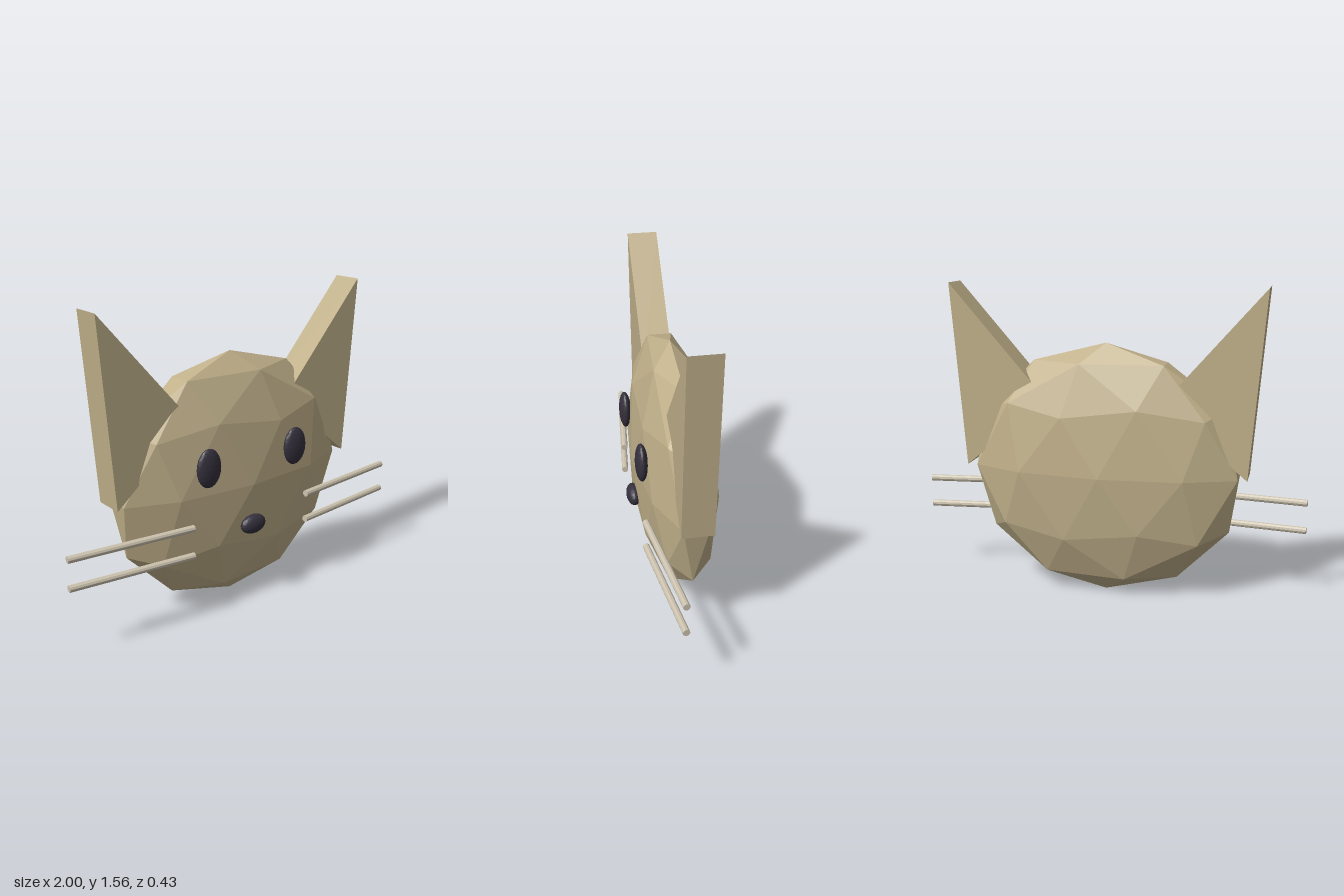
import * as THREE from 'three';

const fur = new THREE.MeshStandardMaterial({ color: 0xc0b08a, flatShading: true });
const dark = new THREE.MeshStandardMaterial({ color: 0x35313d, flatShading: true });
const pale = new THREE.MeshStandardMaterial({ color: 0xccc2ae, flatShading: true });

export function createModel() {
  const model = new THREE.Group();

  const add = (name, geometry, material) => {
    const mesh = new THREE.Mesh(geometry, material);
    mesh.name = name;
    model.add(mesh);
    return mesh;
  };

  // Faceted ellipsoid with one corner pointing straight up
  const ellipsoid = (name, detail, material, radii, centre) => {
    const geometry = new THREE.IcosahedronGeometry(1, detail);
    geometry.rotateX(-Math.atan((1 + Math.sqrt(5)) / 2));
    geometry.rotateY(Math.PI / 2);
    geometry.scale(...radii);
    geometry.computeVertexNormals();
    add(name, geometry, material).position.set(...centre);
  };

  // Flattened head and nose
  ellipsoid('head', 1, fur, [0.7, 0.64, 0.198], [0, 0.645, -0.013]);
  ellipsoid('nose', 3, dark, [0.075, 0.05, 0.036], [0, 0.434, 0.178]);

  for (const side of [-1, 1]) {
    const label = side > 0 ? 'left' : 'right';

    ellipsoid(label + 'Eye', 3, dark, [0.069, 0.098, 0.03], [side * 0.27, 0.788, 0.175]);

    // Ear: a right-angled triangular slab whose inner corner sits in the head
    const outline = [[0.782, 1.567], [0.29, 1.003], [0.712, 0.647]]
      .map(([x, y]) => new THREE.Vector2(side * x, y));
    const ear = new THREE.ExtrudeGeometry(new THREE.Shape(outline), { depth: 0.154, bevelEnabled: false });
    ear.translate(0, 0, -0.085);
    add(label + 'Ear', ear, fur);

    // Whiskers, sweeping slightly backwards towards the tips
    [['Upper', 0.504], ['Lower', 0.361]].forEach(([level, y]) => {
      const root = new THREE.Vector3(side * 0.358, y, 0.171);
      const tip = new THREE.Vector3(side * 0.998, y, 0.1);
      const span = tip.clone().sub(root);
      const whisker = add(label + level + 'Whisker',
        new THREE.CylinderGeometry(0.017, 0.017, span.length(), 10), pale);
      whisker.position.copy(root).addScaledVector(span, 0.5);
      whisker.quaternion.setFromUnitVectors(new THREE.Vector3(0, 1, 0), span.normalize());
    });
  }

  return model;
}
